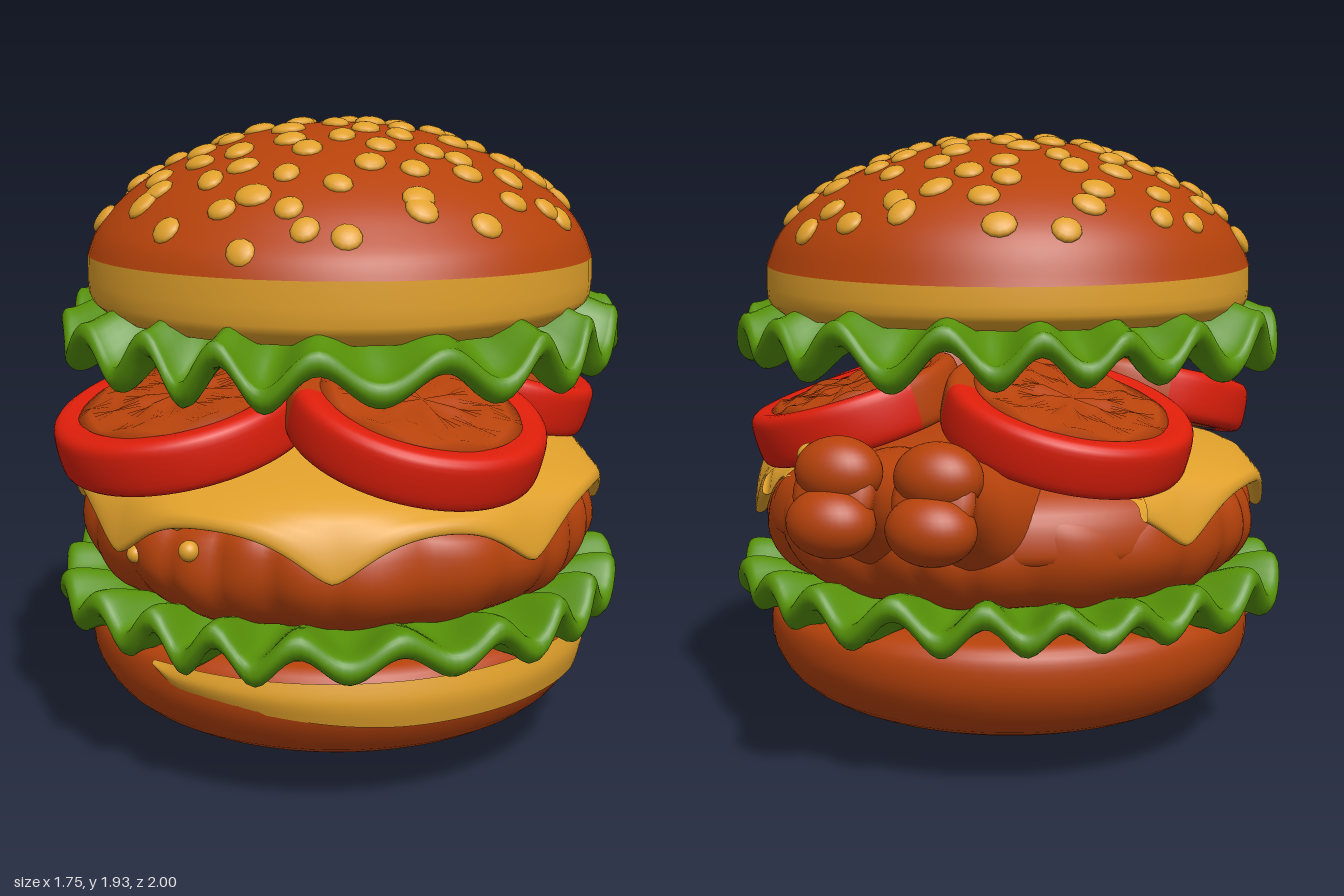
import * as THREE from 'three';
import { mergeVertices } from 'three/addons/utils/BufferGeometryUtils.js';

const paint = (name, color, side = THREE.FrontSide) => {
  const m = new THREE.MeshStandardMaterial({ color, side });
  m.name = name;
  return m;
};
const smooth = (a, b, x) => THREE.MathUtils.smoothstep(x, a, b);

// Turned part: profile runs bottom to top; warp(angle, radius, y) returns a new [radius, y]
function turned(pts, { curve = true, steps = 30, segs = 80, start = 0, length = Math.PI * 2, warp } = {}) {
  let profile = pts.map(p => new THREE.Vector2(p[0], p[1]));
  if (curve) profile = new THREE.SplineCurve(profile).getPoints(steps);
  profile.forEach(p => { p.x = Math.max(0, p.x); });
  let geo = new THREE.LatheGeometry(profile, segs, start, length);
  const pos = geo.attributes.position;
  if (warp) {
    for (let i = 0; i < pos.count; i++) {
      const x = pos.getX(i), z = pos.getZ(i);
      const a = Math.atan2(x, z);
      const [r, y] = warp(a, Math.hypot(x, z), pos.getY(i));
      pos.setXYZ(i, r * Math.sin(a), y, r * Math.cos(a));
    }
  }
  geo.deleteAttribute('normal');
  geo.deleteAttribute('uv');
  geo = mergeVertices(geo, 1e-5);
  geo.computeVertexNormals();
  return geo;
}

export function createModel() {
  const model = new THREE.Group();
  model.name = 'burger';
  const brown = paint('toasted brown', 0xb6420b, THREE.DoubleSide);
  const gold = paint('golden yellow', 0xe0a02b, THREE.DoubleSide);
  const green = paint('leaf green', 0x569008, THREE.DoubleSide);
  const red = paint('tomato red', 0xdc1e0a);

  const add = (name, geo, mat, x = 0, y = 0, z = 0, parent = model) => {
    const mesh = new THREE.Mesh(geo, mat);
    mesh.name = name;
    mesh.position.set(x, y, z);
    parent.add(mesh);
    return mesh;
  };
  const Z = 0.12; // centre of the stack

  // Foot and bottom bun
  add('foot', turned([[0, 0], [0.17, 0], [0.2, 0.01], [0.21, 0.03], [0.2, 0.08], [0, 0.08]], { curve: false, segs: 48 }), brown, 0, 0, Z);
  add('bottomBun', turned([[0, 0.045], [0.22, 0.055], [0.5, 0.11], [0.68, 0.19], [0.76, 0.29], [0.777, 0.38],
    [0.755, 0.44], [0.68, 0.465], [0.4, 0.47], [0, 0.47]]), brown, 0, 0, Z);

  // Pale strip along the front left of the bottom bun
  const from = -0.3, span = 2.15;
  add('bunStrip', turned([[0.765, 0.29], [0.778, 0.34], [0.78, 0.38], [0.769, 0.43]], {
    steps: 10, segs: 48, start: from, length: span,
    warp: (a, r, y) => {
      const t = (a - from) / span;
      const k = (0.55 + 0.45 * smooth(0, 0.5, t)) * Math.sqrt(smooth(-0.01, 0.06, t) * smooth(-0.01, 0.1, 1 - t));
      return [r + 0.006, 0.42 + (y - 0.42) * k];
    },
  }), gold, 0, 0, Z);

  // Ruffled lettuce leaves, with a thick rolled edge
  const leaf = (name, y0, base, R, amp, n, z) => add(name, turned([[0, base], [0.5, base], [0.67, base], [0.77, -0.04], [0.82, -0.045],
    [0.85, -0.012], [0.84, 0.025], [0.8, 0.035], [0.68, base + 0.085], [0.5, base + 0.09], [0, base + 0.09]], {
    steps: 40, segs: 240,
    warp: (a, r, y) => {
      const k = smooth(0.55, 0.8, r);
      const ph = n * a + 0.7 * Math.sin(3 * a + 1) + 0.3 * Math.sin(5 * a);
      const wave = Math.sin(ph) * (0.9 + 0.2 * Math.sin(4 * a + 2));
      const out = 1 + k * (0.013 * Math.sin(7 * a) + 0.007 * Math.cos(ph));
      return [r * out * R / 0.85, y0 + y + k * amp * wave];
    },
  }), green, 0, 0, z);
  leaf('lowerLettuce', 0.53, -0.06, 0.868, 0.047, 21, 0.125);
  leaf('upperLettuce', 1.305, 0, 0.848, 0.06, 18, 0.11);

  // Meat patty with crimped sides
  add('patty', turned([[0, 0.52], [0.55, 0.53], [0.7, 0.57], [0.775, 0.66], [0.785, 0.75], [0.75, 0.83],
    [0.64, 0.875], [0.4, 0.91], [0, 0.95]], {
    segs: 210,
    warp: (a, r, y) => {
      const k = smooth(0.4, 0.75, r);
      const crimp = Math.abs(Math.sin(12 * a + 0.9 * Math.sin(4 * a)));
      return [r * (1 + k * (0.024 * crimp - 0.018 + 0.007 * Math.sin(9 * a + 14 * y))), y + 0.008 * k * Math.sin(11 * a)];
    },
  }), brown, 0, 0, Z);

  // Melted cheese with draped corners, and the meat rising behind it
  const corners = [25, 69, 120].flatMap(d => [d, -d]).map(d => d * Math.PI / 180);
  const edge = 2.28;
  add('cheese', turned([[0, 0.97], [0.4, 0.95], [0.65, 0.9], [0.755, 0.85], [0.78, 0.8], [0.805, 0.79], [0.815, 0.81],
    [0.79, 0.88], [0.7, 0.945], [0.4, 1.01], [0, 1.04]], {
    segs: 200, start: -edge, length: edge * 2,
    warp: (a, r, y) => {
      const drip = corners.reduce((s, c) => s + Math.exp(-((Math.abs(a - c) / 0.18) ** 1.5)), 0);
      const k = (1 - smooth(0.8, 0.93, y)) * smooth(0.7, 0.79, r);
      return [r + 0.008 * k * drip, y + k * (0.075 - 0.135 * drip)];
    },
  }), gold, 0, 0, Z);
  add('meatBack', turned([[0, 0.9], [0.6, 0.8], [0.76, 0.7], [0.78, 0.77], [0.73, 0.87], [0.56, 0.95], [0.3, 1.01], [0, 1.035]],
    { segs: 40, start: edge - 0.05, length: 2 * (Math.PI - edge) + 0.1 }), brown, 0, 0, Z);

  // Tomato slices, leaning outwards; the skin is red on the outer side and browned towards the middle
  const skin = [[0.3, -0.085], [0.35, -0.085], [0.378, -0.07], [0.386, -0.03], [0.386, 0.03], [0.378, 0.065], [0.35, 0.08], [0.3, 0.072]];
  const skinArc = 2.1;
  const outerSkin = turned(skin, { steps: 18, segs: 48, start: -skinArc, length: 2 * skinArc });
  const innerSkin = turned(skin, { steps: 18, segs: 24, start: skinArc, length: 2 * (Math.PI - skinArc) });
  const pulp = turned([[0, -0.075], [0.31, -0.08], [0.31, 0.07], [0.27, 0.078], [0.2, 0.08], [0.1, 0.08], [0, 0.08]], {
    curve: false, segs: 64,
    warp: (a, r, y) => [r, y + (y > 0 && r < 0.3 ? 0.012 * Math.sin(7 * a + r * 30) * smooth(0, 0.1, r) : 0)],
  });
  [[-0.29, 1.07, 0.56, 1], [0.39, 1.09, 0.41, 0.98], [0.35, 1.085, -0.28, 0.86], [-0.32, 1.07, -0.25, 0.98]].forEach(([x, y, z, s], i) => {
    const slice = new THREE.Group();
    slice.name = 'tomatoSlice' + (i + 1);
    slice.position.set(x, y, z);
    slice.scale.set(s, 1, s);
    const out = i === 0 ? new THREE.Vector3(-0.45, 0, 0.9) : new THREE.Vector3(x, 0, (z - Z) * 0.45);
    out.normalize();
    slice.quaternion.setFromAxisAngle(new THREE.Vector3(out.z, 0, -out.x), i === 0 ? 0.24 : 0.3);
    const facing = Math.atan2(out.x, out.z);
    add('tomatoSkin', outerSkin, red, 0, 0, 0, slice).rotation.y = facing;
    add('tomatoInnerSkin', innerSkin, brown, 0, 0, 0, slice).rotation.y = facing;
    add('tomatoPulp', pulp, brown, 0, 0, 0, slice);
    model.add(slice);
  });

  // Two drumsticks sticking out of the back
  const shank = turned([[0, -0.16], [0.14, -0.12], [0.2, 0], [0.2, 0.14], [0.165, 0.28], [0.125, 0.4], [0.11, 0.52], [0.115, 0.6], [0, 0.63]], { segs: 40 });
  const knob = new THREE.SphereGeometry(1, 32, 20);
  for (const side of [-1, 1]) {
    const stick = new THREE.Group();
    stick.name = side > 0 ? 'leftDrumstick' : 'rightDrumstick';
    add('shank', shank, brown, side * 0.15, 0.76, -0.32, stick).rotation.x = -1.27;
    add('upperKnuckle', knob, brown, side * 0.15, 0.99, -0.84, stick).scale.set(0.128, 0.1, 0.1);
    add('lowerKnuckle', knob, brown, side * 0.15, 0.855, -0.895, stick).scale.set(0.13, 0.1, 0.105);
    model.add(stick);
  }

  // Stray pale specks on the meat, bun and drumstick
  [[-0.085, 0.78, 0.895, 0.03], [-0.29, 0.73, 0.85, 0.026], [-0.15, 0.84, 0.85, 0.02],
    [-0.745, 0.4, 0.33, 0.022], [0.24, 1.03, -0.84, 0.035]].forEach(([x, y, z, r]) => {
    add('speck', knob, gold, x, y, z).scale.setScalar(r);
  });

  // Top bun: pale band below, toasted crown above, sharing a slightly slanted seam
  const seam = 1.525, BZ = 0.105;
  const slant = (a, r, y) => {
    const k = 1 - smooth(0, 0.15, Math.abs(y - seam));
    return [r, y + k * r * (0.035 * Math.cos(a) + 0.012 * Math.sin(a))];
  };
  add('bunBand', turned([[0, 1.36], [0.6, 1.36], [0.72, 1.37], [0.755, 1.4], [0.764, 1.42], [0.767, 1.46], [0.765, seam]],
    { curve: false, warp: slant }), gold, 0, 0, BZ);
  const crown = [[0.765, seam], [0.735, 1.6], [0.68, 1.67], [0.59, 1.745], [0.45, 1.82], [0.28, 1.88], [0.12, 1.908], [0, 1.912]];
  add('bunCrown', turned(crown, { warp: slant }), brown, 0, 0, BZ);

  // Sesame seeds scattered over the crown
  let state = 7;
  const rand = () => (state = (state * 16807) % 2147483647) / 2147483647;
  const line = new THREE.SplineCurve(crown.map(p => new THREE.Vector2(...p))).getPoints(200);
  const seeds = new THREE.Group();
  seeds.name = 'sesameSeeds';
  const seedGeo = new THREE.SphereGeometry(1, 12, 8);
  const count = 92;
  for (let i = 0; i < count; i++) {
    const r = 0.725 * Math.sqrt((i + 0.6) / count) + (rand() - 0.5) * 0.03;
    const a = i * 2.39996 + (rand() - 0.5) * 0.35;
    const j = Math.max(1, line.findIndex(p => p.x <= r));
    const tangent = line[j - 1].clone().sub(line[j]);
    const up = new THREE.Vector3(-tangent.y * Math.sin(a), tangent.x, -tangent.y * Math.cos(a)).normalize();
    const seed = add('seed', seedGeo, gold, r * Math.sin(a), line[j].y, r * Math.cos(a), seeds);
    seed.quaternion.setFromUnitVectors(new THREE.Vector3(0, 1, 0), up);
    seed.rotateY(rand() * 3.14);
    seed.scale.set(0.037 + rand() * 0.01, 0.021, 0.042 + rand() * 0.013);
  }
  seeds.position.z = BZ;
  model.add(seeds);
  return model;
}
